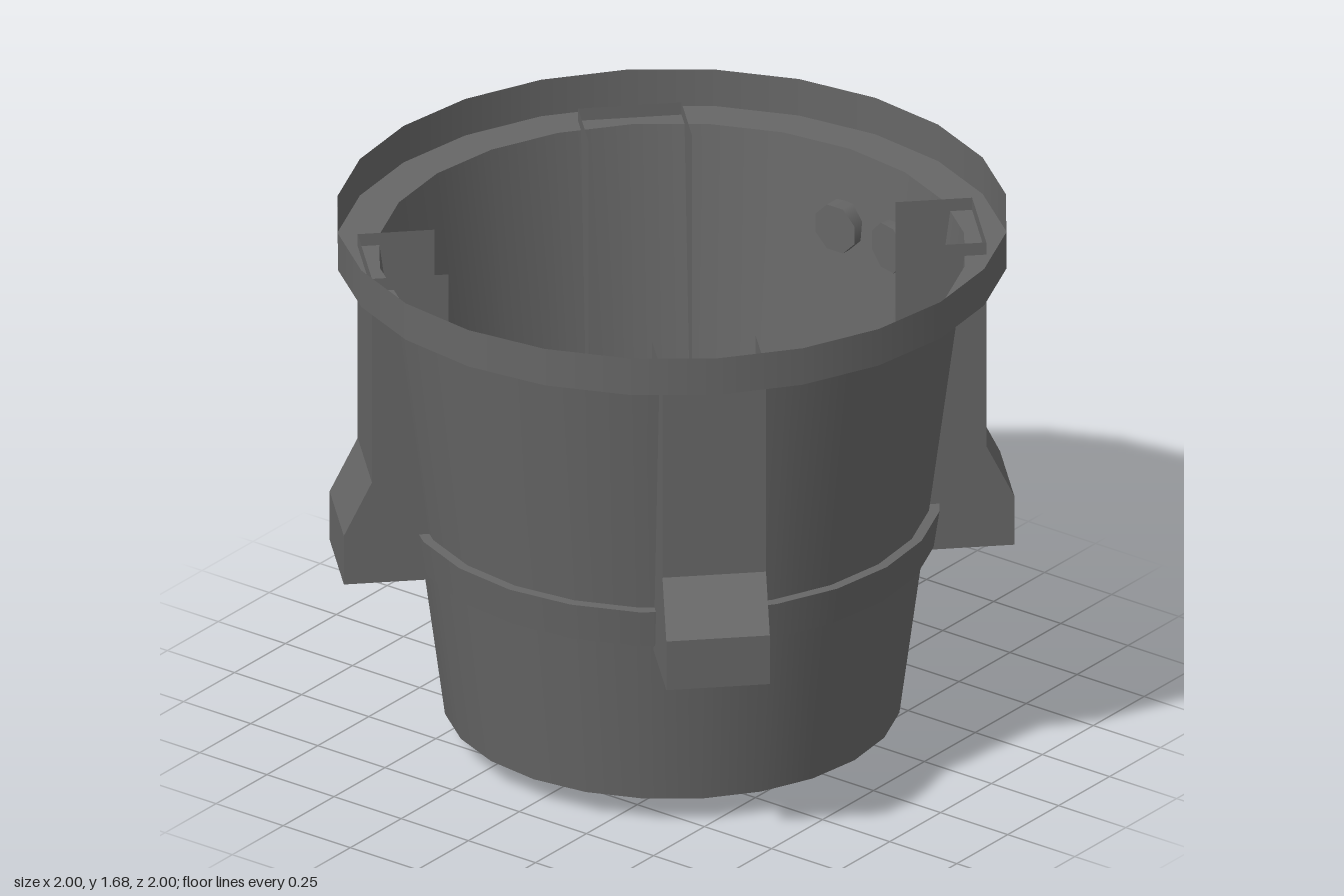
import * as THREE from 'three';

export function createModel() {
  const model = new THREE.Group();
  const plastic = new THREE.MeshStandardMaterial({ color: 0x666666, side: THREE.DoubleSide });
  plastic.name = 'dark grey plastic';

  const add = (parent, name, geometry) => {
    const mesh = new THREE.Mesh(geometry, plastic);
    mesh.name = name;
    parent.add(mesh);
    return mesh;
  };
  const points = (list) => list.map(([x, y]) => new THREE.Vector2(x, y));
  const turned = (name, profile, sides = 24) =>
    add(model, name, new THREE.LatheGeometry(points(profile), sides));

  // Thin-walled tub with an upstanding rim
  turned('floor', [[0.4, 0.04], [0.55, 0.05], [0.68, 0.08]]);
  turned('wall', [[0.68, 0.08], [0.875, 1.56]]);
  turned('rimLedge', [[0.875, 1.56], [1, 1.56]]);
  turned('rim', [[1, 1.56], [1, 1.68]]);

  // Round foot under the floor
  turned('footBottom', [[0, 0], [0.4, 0]], 48);
  turned('footSide', [[0.4, 0], [0.4, 0.04]], 48);

  // Band straddling the wall, one lathe per face for sharp edges
  const band = [[0.722, 0.63], [0.782, 0.63], [0.8, 0.75], [0.738, 0.75]];
  band.forEach((p, i) => turned('band', [p, band[(i + 1) % 4]]));

  // Four hollow brackets: two side plates and a folded outer plate, open at top and inside
  const half = 0.155;
  const fold = [[0.69, 0.6], [1.004, 0.6], [1.004, 0.76], [0.92, 0.93], [0.92, 1.6]];
  const sideShape = new THREE.Shape(points([...fold, [0.69, 1.6]]));
  const corners = [];
  for (let i = 0; i < fold.length - 1; i++) {
    const [a, b] = [fold[i], fold[i + 1]];
    corners.push(...a, half, ...a, -half, ...b, -half, ...a, half, ...b, -half, ...b, half);
  }
  const outer = new THREE.BufferGeometry();
  outer.setAttribute('position', new THREE.Float32BufferAttribute(corners, 3));
  outer.computeVertexNormals();
  for (let k = 0; k < 4; k++) {
    const bracket = new THREE.Group();
    bracket.name = 'bracket';
    bracket.rotation.y = Math.PI / 4 + (k * Math.PI) / 2;
    add(bracket, 'bracketOuterPlate', outer);
    for (const z of [-half, half])
      add(bracket, 'bracketSidePlate', new THREE.ShapeGeometry(sideShape)).position.z = z;
    model.add(bracket);
  }

  // Two octagonal plugs through the back wall
  for (const [angle, inner] of [[0, 0.8], [-0.25, 0.815]]) {
    const plug = new THREE.Group();
    plug.name = 'plug';
    plug.rotation.y = angle;
    const depth = 0.875 - inner;
    const disc = new THREE.CylinderGeometry(0.078, 0.078, depth, 8).rotateY(Math.PI / 8).rotateX(Math.PI / 2);
    add(plug, 'plugDisc', disc).position.set(0, 1.325, -(inner + depth / 2));
    model.add(plug);
  }
  return model;
}
